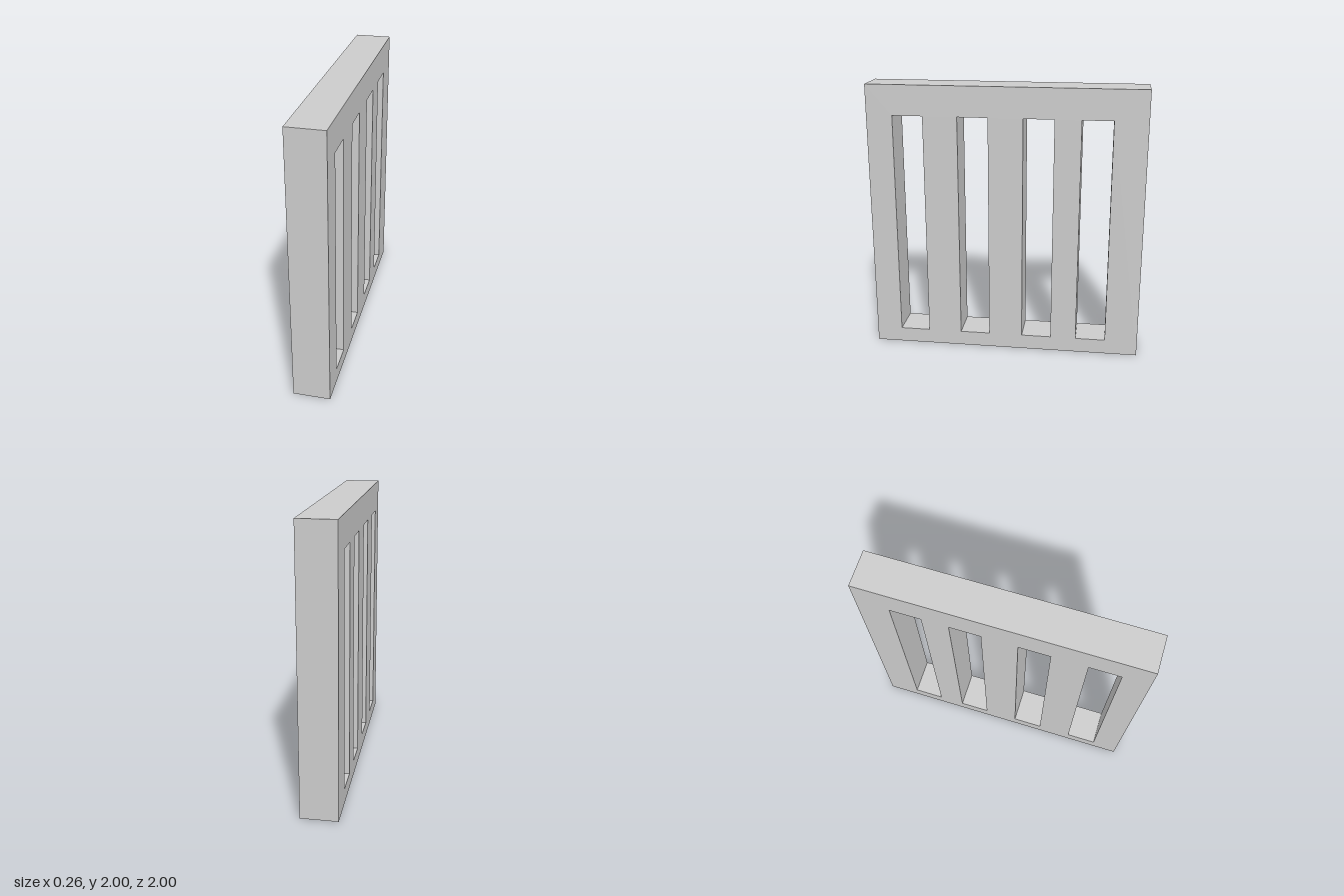
import * as THREE from 'three';

const THICKNESS = 0.264;
const SLOT_WIDTH = 0.22;
const SLOT_BOTTOM = 0.11;
const SLOT_TOP = 1.78;
const SLOT_CENTRES = [0.70, 0.23, -0.24, -0.65]; // along z

// Rectangle outline from two opposite corners
function rectangle(Type, x0, y0, x1, y1) {
  return new Type([
    new THREE.Vector2(x0, y0),
    new THREE.Vector2(x1, y0),
    new THREE.Vector2(x1, y1),
    new THREE.Vector2(x0, y1),
  ]);
}

export function createModel() {
  const group = new THREE.Group();
  group.name = 'slottedPanel';

  // Square panel pierced by four tall slots
  const outline = rectangle(THREE.Shape, -1, 0, 1, 2);
  for (const z of SLOT_CENTRES) {
    const x = -z; // the outline's x becomes -z after turning
    outline.holes.push(
      rectangle(THREE.Path, x - SLOT_WIDTH / 2, SLOT_BOTTOM, x + SLOT_WIDTH / 2, SLOT_TOP)
    );
  }

  // Extrude through the thickness, then turn the panel to face sideways
  const geometry = new THREE.ExtrudeGeometry(outline, { depth: THICKNESS, bevelEnabled: false });
  geometry.translate(0, 0, -THICKNESS / 2);
  geometry.rotateY(Math.PI / 2);

  const panel = new THREE.Mesh(geometry, new THREE.MeshStandardMaterial({ color: 0xcccccc }));
  panel.name = 'barredFrame';
  group.add(panel);
  return group;
}
